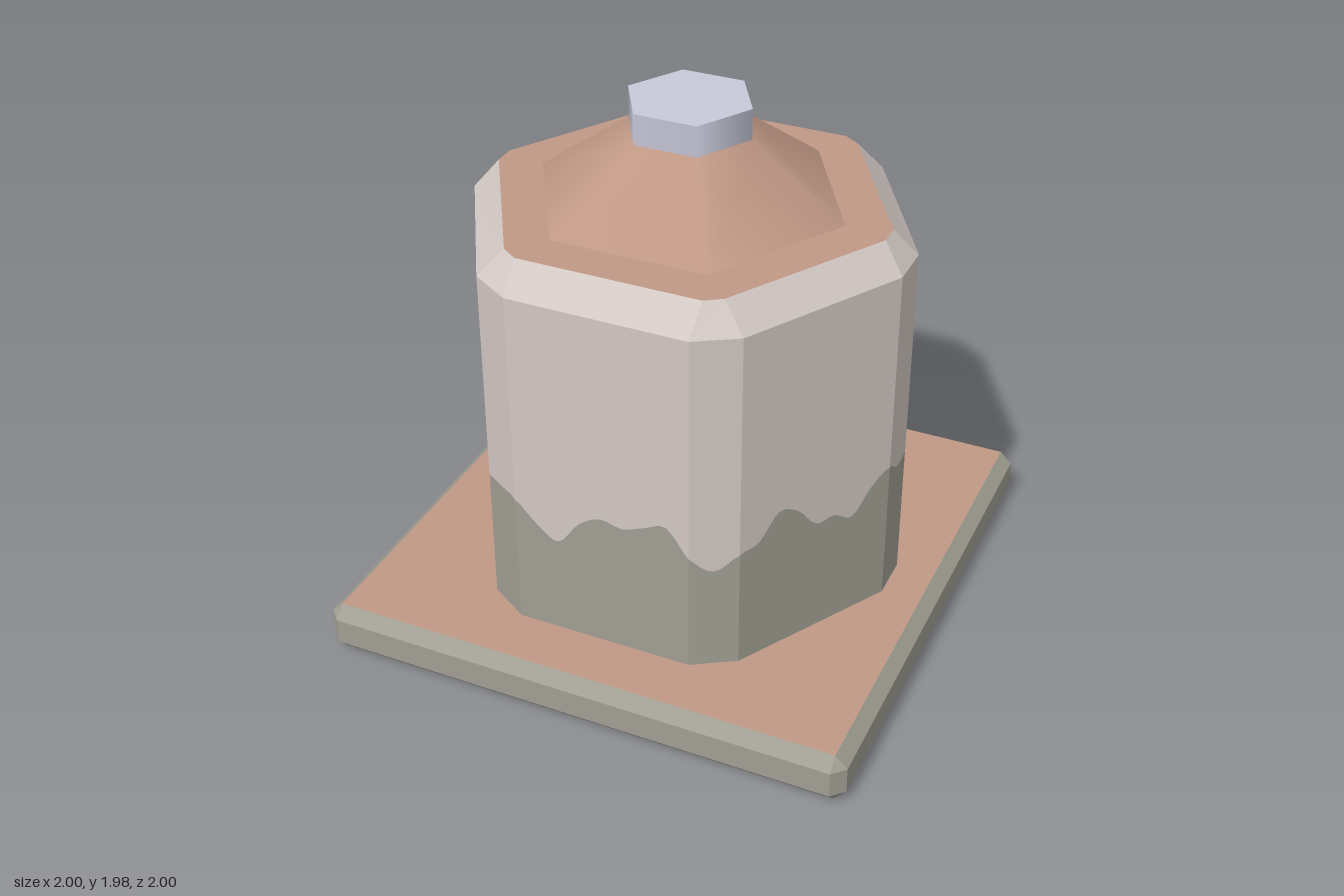
import * as THREE from 'three';

const mat = (name, color) => new THREE.MeshStandardMaterial({ name, color });

// Flat-shaded geometry from a list of triangle corners
function facets(points) {
  const g = new THREE.BufferGeometry().setFromPoints(points);
  g.computeVertexNormals();
  return g;
}

// Skin between successive closed rings, listed bottom to top, each anticlockwise from above
function loft(rings) {
  const pts = [];
  for (let r = 0; r < rings.length - 1; r++) {
    const lo = rings[r], hi = rings[r + 1], n = lo.length;
    for (let i = 0; i < n; i++) {
      const j = (i + 1) % n;
      if (lo[i].distanceTo(lo[j]) > 1e-6) pts.push(lo[i], lo[j], hi[j]);
      if (hi[i].distanceTo(hi[j]) > 1e-6) pts.push(lo[i], hi[j], hi[i]);
    }
  }
  return facets(pts);
}

// Flat convex lid over a ring
function lid(ring, up = true) {
  const pts = [];
  for (let i = 1; i < ring.length - 1; i++) {
    pts.push(ring[0], ring[up ? i : i + 1], ring[up ? i + 1 : i]);
  }
  return facets(pts);
}

// Square with cut corners
function squareRing(half, cut, y) {
  const a = half, b = half - cut;
  return [[-b, a], [b, a], [a, b], [a, -b], [b, -a], [-b, -a], [-a, -b], [-a, b]]
    .map(([x, z]) => new THREE.Vector3(x, y, z));
}

// Hexagon with cut corners, from the three points of its front right quarter
function hexRing(quarter, y) {
  const [p, q, r] = quarter;
  const right = [p, q, r, [r[0], -r[1]], [q[0], -q[1]], [p[0], -p[1]]];
  const left = right.map(([x, z]) => [-x, -z]);
  return [...right, ...left].map(([x, z]) => new THREE.Vector3(x, y, z));
}

// Heights of the stain edge along each body face, starting at the front right corner cut
const STAIN = [
  [0.66, 0.60],
  [0.66, 0.68, 0.77, 0.74, 0.65, 0.65, 0.61, 0.70],
  [0.75, 0.70],
  [0.71, 0.705, 0.68, 0.64, 0.605, 0.58, 0.575, 0.585],
  [0.61, 0.59],
  [0.60, 0.60, 0.655, 0.58, 0.68, 0.77, 0.70, 0.61],
  [0.62, 0.68],
  [0.67, 0.79, 0.75, 0.65, 0.62, 0.70, 0.76, 0.68],
  [0.67, 0.72],
  [0.58, 0.58, 0.59, 0.62, 0.65, 0.68, 0.71, 0.715],
  [0.715, 0.715],
  [0.71, 0.63, 0.58, 0.68, 0.725, 0.71, 0.74, 0.765],
];

// Wavy ring that follows the body walls
function stainRing(ring) {
  const heights = STAIN.flat(), n = heights.length, steps = 4, out = [];
  const h = (i) => heights[(i + n) % n];
  let k = 0;
  STAIN.forEach((list, side) => {
    const a = ring[side], b = ring[(side + 1) % ring.length];
    list.forEach((_, s) => {
      for (let m = 0; m < steps; m++) {
        const t = m / steps;
        const p = a.clone().lerp(b, (s + t) / list.length);
        const m0 = (h(k + 1) - h(k - 1)) / 2, m1 = (h(k + 2) - h(k)) / 2;
        const t2 = t * t, t3 = t2 * t;
        p.y = (2 * t3 - 3 * t2 + 1) * h(k) + (t3 - 2 * t2 + t) * m0
          + (3 * t2 - 2 * t3) * h(k + 1) + (t3 - t2) * m1;
        out.push(p);
      }
      k++;
    });
  });
  return out;
}

export function createModel() {
  const model = new THREE.Group();
  model.name = 'hexagonalTank';
  const clay = mat('clay', 0xc09885);
  const plaster = mat('plaster', 0xd2c8c4);
  const stain = mat('stainGrey', 0xa19f93);
  const steel = mat('steel', 0xc8c8da);
  const add = (name, geometry, material) => {
    const mesh = new THREE.Mesh(geometry, material);
    mesh.name = name;
    model.add(mesh);
    return mesh;
  };

  // Base slab with bevelled rim
  const slab = [
    squareRing(0.955, 0, 0), squareRing(1, 0.045, 0.05),
    squareRing(1, 0.045, 0.15), squareRing(0.955, 0, 0.195),
  ];
  add('baseRim', loft(slab), stain);
  add('baseTop', lid(slab[3]), clay);
  add('baseBottom', lid(slab[0], false), clay);

  // Body walls, split along the wavy stain edge
  const outer = [[0.33, 0.745], [0.48, 0.655], [0.81, 0.085]];
  const inner = [[0.335, 0.65], [0.395, 0.61], [0.73, 0.04]];
  const shoulder = hexRing(outer, 1.52);
  const brim = hexRing(inner, 1.62);
  const wave = stainRing(shoulder);
  const atHeight = (y) => wave.map((p) => new THREE.Vector3(p.x, y, p.z));
  add('stainedWall', loft([atHeight(0.195), wave]), stain);
  add('wall', loft([wave, atHeight(1.52)]), plaster);

  // Bevelled shoulder and roof
  add('shoulder', loft([shoulder, brim]), plaster);
  add('roof', lid(brim), clay);

  // Smooth hexagonal cone and cap
  const cone = new THREE.CylinderGeometry(0.23, 0.573, 0.25, 6, 1, true).rotateY(Math.PI / 6);
  add('cone', cone, clay).position.y = 1.745;
  const cap = new THREE.CylinderGeometry(0.23, 0.23, 0.113, 6).rotateY(Math.PI / 6);
  add('cap', cap, steel).position.y = 1.9265;

  return model;
}
